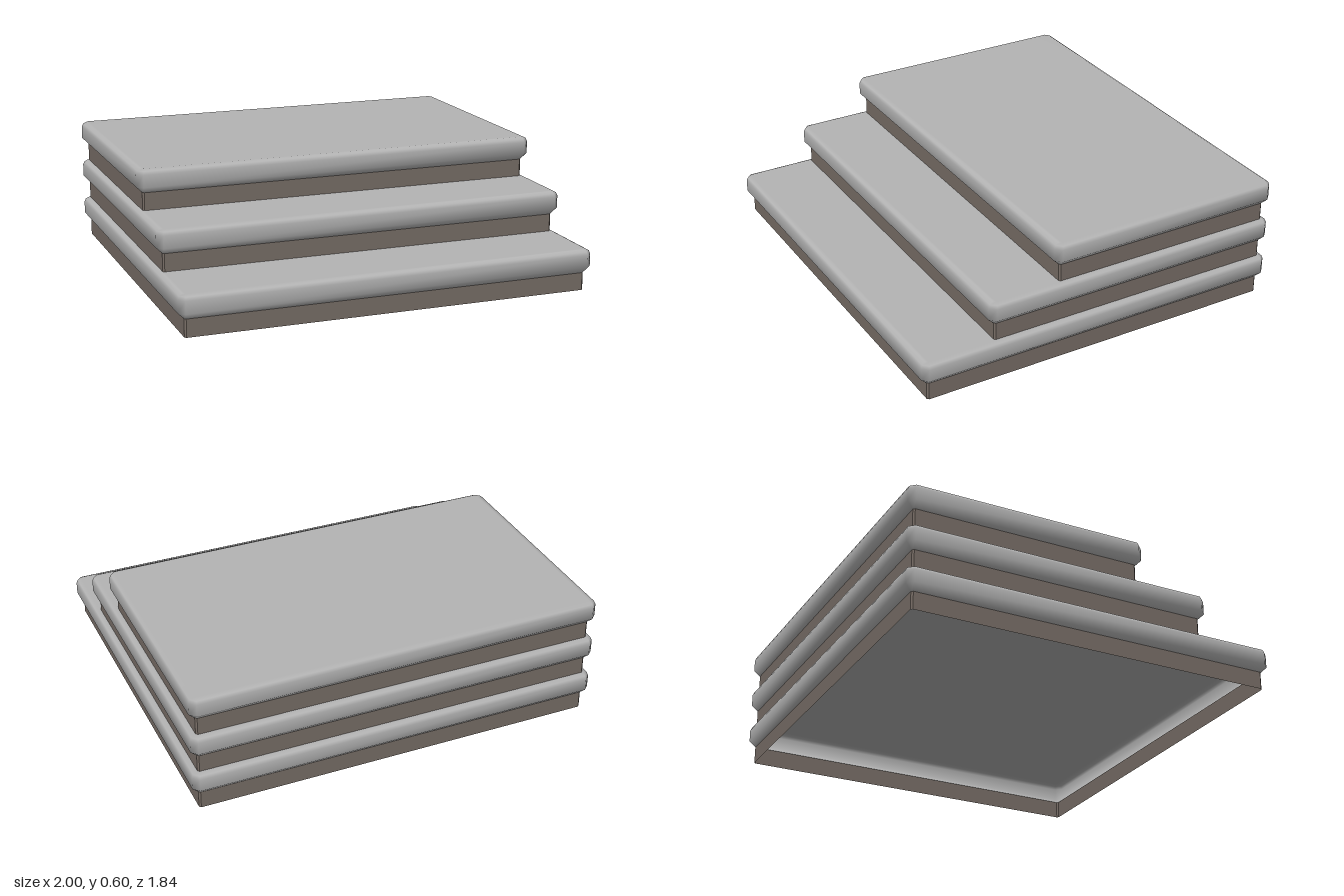
import * as THREE from 'three';

const stone = new THREE.MeshStandardMaterial({ color: 0xb4b4b4, side: THREE.DoubleSide });
stone.name = 'light grey stone';
const brown = new THREE.MeshStandardMaterial({ color: 0x776d66, side: THREE.DoubleSide });
brown.name = 'brown riser';

const BACK = -0.92;

// Rectangle with cut corners, counter-clockwise seen from above
function outline(hx, z0, z1, c) {
  return [
    [-hx + c, z1], [hx - c, z1], [hx, z1 - c], [hx, z0 + c],
    [hx - c, z0], [-hx + c, z0], [-hx, z0 + c], [-hx, z1 - c],
  ];
}

// Open shell through rings of [inset, height, corner cut], with an optional flat top
function shell(front, rings, capped) {
  const pos = [], index = [], n = 8;
  for (const [inset, y, cut] of rings) {
    for (const [x, z] of outline(1 - inset, BACK + inset, front - inset, cut)) pos.push(x, y, z);
  }
  for (let r = 0; r < rings.length - 1; r++) {
    for (let i = 0; i < n; i++) {
      const a = r * n + i, b = r * n + (i + 1) % n;
      index.push(a, b, b + n, a, b + n, a + n);
    }
  }
  if (capped) {
    const t = (rings.length - 1) * n;
    for (let i = 1; i < n - 1; i++) index.push(t, t + i, t + i + 1);
  }
  const g = new THREE.BufferGeometry();
  g.setAttribute('position', new THREE.Float32BufferAttribute(pos, 3));
  g.setIndex(index);
  return g;
}

function addMesh(group, name, geometry, material) {
  geometry.computeVertexNormals();
  const mesh = new THREE.Mesh(geometry, material);
  mesh.name = name;
  group.add(mesh);
}

export function createModel() {
  const model = new THREE.Group();
  model.name = 'steps';
  [0.92, 0.585, 0.255].forEach((front, i) => {
    const step = new THREE.Group();
    step.name = 'step' + (i + 1);
    step.position.y = i * 0.2;

    // Recessed riser walls, open above and below, hard-edged
    const riser = shell(front, [[0.03, 0, 0.008], [0.03, 0.088, 0.008]], false).toNonIndexed();
    addMesh(step, 'riser', riser, brown);

    // Hollow tread with softened edges and a tucked-under lip
    const tread = shell(front, [
      [0.03, 0.085, 0.008], [0, 0.115, 0.028], [0, 0.175, 0.028],
      [0.007, 0.191, 0.024], [0.024, 0.2, 0.012],
    ], true);
    addMesh(step, 'tread', tread, stone);
    model.add(step);
  });
  return model;
}
